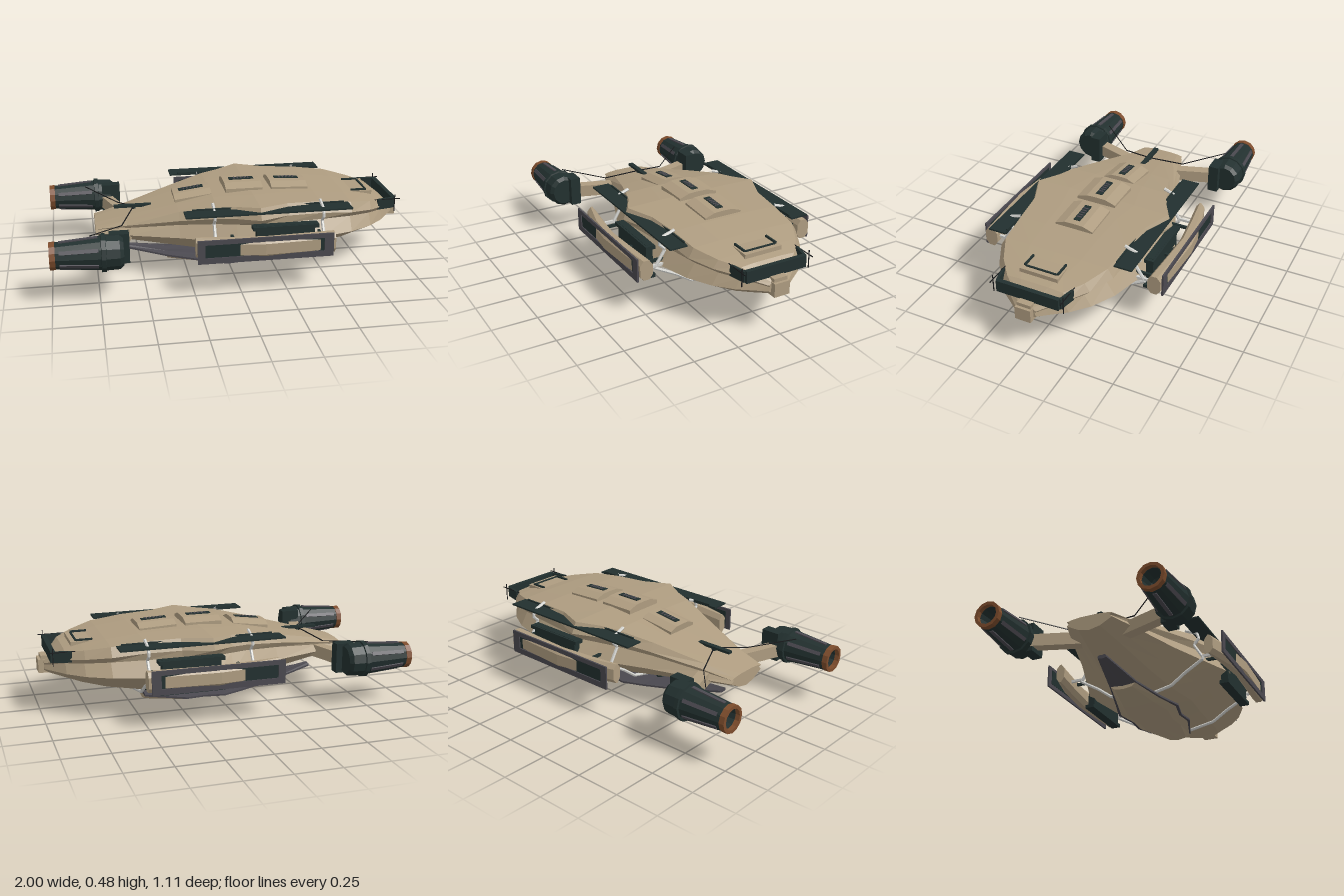
import * as THREE from 'three';

const mat = (name, color, side = THREE.FrontSide) => {
  const m = new THREE.MeshStandardMaterial({ color, side });
  m.name = name;
  return m;
};
const tan = mat('tan hull', 0xae9c80);
const dark = mat('dark green metal', 0x22302f);
const grey = mat('slate grey', 0x4b4950);
const pale = mat('pale tube', 0xd2d2ce);
const brown = mat('burnt copper', 0x7d4c2c);
const black = mat('black', 0x18191b);

export function createModel() {
  const model = new THREE.Group();
  model.name = 'spaceship';

  const add = (name, geo, material, parent = model) => {
    const g = geo.index ? geo.toNonIndexed() : geo;
    g.computeVertexNormals(); // faceted look
    const mesh = new THREE.Mesh(g, material);
    mesh.name = name;
    parent.add(mesh);
    return mesh;
  };

  // box from its minimum and maximum corners
  const box = (name, x0, x1, y0, y1, z0, z1, material, parent) => {
    const m = add(name, new THREE.BoxGeometry(x1 - x0, y1 - y0, Math.abs(z1 - z0)), material, parent);
    m.position.set((x0 + x1) / 2, (y0 + y1) / 2, (z0 + z1) / 2);
    return m;
  };

  // square beam between two points
  const beam = (name, a, b, w, h, material) => {
    const p = new THREE.Vector3(...a), q = new THREE.Vector3(...b);
    const m = add(name, new THREE.BoxGeometry(w, h, p.distanceTo(q)), material);
    m.position.copy(p).lerp(q, 0.5);
    m.lookAt(q);
    return m;
  };

  // skin over rings of [z, y] points at rising x, with closed ends
  const loft = (name, rings, material, parent) => {
    const v = [];
    const tri = (...p) => p.forEach(k => v.push(...k));
    const pts = rings.map(([x, ring]) => ring.map(([z, y]) => [x, y, z]));
    const n = pts[0].length;
    const mid = r => r.reduce((s, p) => s.map((c, i) => c + p[i] / n), [0, 0, 0]);
    const first = pts[0], last = pts[pts.length - 1];
    for (let j = 0; j < n; j++) {
      const k = (j + 1) % n;
      for (let i = 0; i + 1 < pts.length; i++) {
        const a = pts[i], b = pts[i + 1];
        tri(a[j], a[k], b[j]);
        tri(a[k], b[k], b[j]);
      }
      tri(mid(first), first[k], first[j]);
      tri(mid(last), last[j], last[k]);
    }
    const g = new THREE.BufferGeometry();
    g.setAttribute('position', new THREE.Float32BufferAttribute(v, 3));
    return add(name, g, material, parent);
  };

  // completes a half section (top to bottom, z >= 0) whose end points lie on z = 0
  const mirrored = half => [...half, ...half.slice(1, -1).reverse().map(([z, y]) => [-z, y])];
  const mix = THREE.MathUtils.lerp;

  // hull: x, deck half width, deck height, belt half width, keel height
  const hull = [
    [-0.75, 0.10, 0.285, 0.13, 0.20], [-0.58, 0.14, 0.325, 0.19, 0.17],
    [-0.30, 0.23, 0.39, 0.28, 0.115], [-0.10, 0.30, 0.43, 0.36, 0.08],
    [0.0, 0.335, 0.438, 0.40, 0.073], [0.12, 0.40, 0.447, 0.45, 0.07],
    [0.28, 0.335, 0.442, 0.42, 0.07], [0.47, 0.315, 0.435, 0.39, 0.08],
    [0.65, 0.30, 0.415, 0.34, 0.115], [0.78, 0.235, 0.39, 0.27, 0.155],
    [0.87, 0.16, 0.37, 0.19, 0.19], [0.93, 0.08, 0.325, 0.11, 0.21],
    [0.97, 0.04, 0.30, 0.06, 0.225],
  ].map(([x, dw, dy, bw, ky]) => [x, mirrored([
    [0, dy], [dw * 0.5, dy], [dw, dy - 0.005], [Math.min(dw + 0.03, bw), mix(0.25, dy, 0.66)],
    [bw * 0.86, mix(0.25, dy, 0.45)], [bw, 0.25],
    [bw * 0.7, mix(0.25, ky, 0.42)], [bw * 0.47, mix(0.25, ky, 0.74)], [0, ky],
  ])]);
  loft('hull', hull, tan);
  box('nose block', 0.94, 1.0, 0.225, 0.30, -0.045, 0.045, tan);
  box('nose cap', 0.95, 0.985, 0.295, 0.32, -0.04, 0.04, tan);

  // bow sensor panel
  box('bow panel', 0.925, 0.95, 0.315, 0.38, -0.178, 0.178, dark);
  for (const s of [-1, 1]) {
    beam('bow panel wing', [0.935, 0.347, s * 0.178], [0.84, 0.347, s * 0.20], 0.015, 0.06, dark);
    beam('bow aerial', [0.82, 0.375, s * 0.2], [0.97, 0.375, s * 0.2], 0.004, 0.004, black);
    beam('bow aerial mast', [0.94, 0.30, s * 0.2], [0.94, 0.40, s * 0.2], 0.004, 0.004, black);
    box('bow hatch edge', 0.71, 0.80, 0.395, 0.412, s * 0.09, s * 0.1, dark);
  }
  box('bow hatch', 0.69, 0.83, 0.37, 0.402, -0.11, 0.11, tan);
  box('bow hatch sill', 0.795, 0.805, 0.395, 0.408, -0.09, 0.09, dark);

  // three raised roof hatches with slatted vents
  for (const [x, y, tilt, w] of [[-0.2, 0.405, 0.13, 0.095], [0.085, 0.445, 0, 0.115], [0.345, 0.437, -0.05, 0.11]]) {
    const hatch = new THREE.Group();
    hatch.name = 'roof hatch';
    hatch.position.set(x, y, 0);
    hatch.rotation.z = tilt;
    model.add(hatch);
    const section = mirrored([[0, 0.036], [w * 0.5, 0.034], [w, 0.014], [w, -0.01], [0, -0.01]]);
    loft('hatch cover', [[-0.105, section], [0.105, section]], tan, hatch);
    box('vent', -0.07, 0.07, 0.034, 0.039, -0.019, 0.019, dark, hatch);
    for (let i = -2; i <= 2; i++)
      box('vent slat', i * 0.02 - 0.004, i * 0.02 + 0.004, 0.038, 0.042, -0.014, 0.014, grey, hatch);
  }

  // rear aerial bar
  box('aerial bar', -0.64, -0.43, 0.347, 0.361, -0.014, 0.014, dark);
  box('aerial mast', -0.54, -0.52, 0.31, 0.35, -0.01, 0.01, dark);

  // keel fin: x, height, half width
  const keel = [[-0.6, 0.105, 0.025], [-0.35, 0.055, 0.08], [-0.15, 0.035, 0.14],
    [-0.02, 0.03, 0.185], [0.1, 0.025, 0.155], [0.2, 0.025, 0.165], [0.42, 0.035, 0.08]];
  loft('keel plate', keel.map(([x, y, w]) =>
    [x, mirrored([[0, y + 0.02], [w * 0.5, y + 0.025], [w, y + 0.017], [w, y + 0.007], [0, y]])]), grey);
  loft('keel underside', keel.slice(1).map(([x, y, w]) =>
    [x, mirrored([[0, y + 0.006], [w * 0.92, y + 0.007], [w * 0.65, y - 0.012], [0, y - 0.02]])]), tan);
  for (const x of [-0.15, 0.12, 0.38])
    add('keel mount', new THREE.CylinderGeometry(0.025, 0.02, 0.06, 8), dark).position.set(x, 0.07, 0);

  // engine profile about its own axis, front to back
  const lathe = pts => new THREE.LatheGeometry(pts.map(p => new THREE.Vector2(...p)), 12).rotateZ(Math.PI / 2);
  const engineProfile = [[0, 0.62], [0.075, 0.62], [0.092, 0.64], [0.094, 0.71], [0.102, 0.712],
    [0.102, 0.735], [0.09, 0.737], [0.07, 0.975], [0.055, 0.975], [0.045, 0.9], [0, 0.88]];
  const rimProfile = [[0.056, 0.97], [0.074, 0.97], [0.074, 1.0], [0.056, 1.0], [0.056, 0.97]];

  for (const s of [-1, 1]) {
    // engines
    const engine = new THREE.Group();
    engine.name = 'engine';
    engine.position.set(0, 0.27, s * 0.455);
    model.add(engine);
    add('engine shell', lathe(engineProfile), dark, engine);
    add('nozzle rim', lathe(rimProfile), brown, engine);
    for (let i = 0; i < 6; i++) {
      const turn = new THREE.Group();
      turn.name = 'engine rib';
      turn.rotation.x = i * Math.PI / 3;
      engine.add(turn);
      const rib = box('cooling rib', -0.95, -0.75, 0.076, 0.084, -0.01, 0.01, grey, turn);
      rib.rotation.z = 0.08;
    }
    box('engine coupling', -0.69, -0.585, 0.19, 0.355, s * 0.37, s * 0.43, dark);
    beam('engine pylon', [-0.58, 0.25, s * 0.13], [-0.67, 0.25, s * 0.40], 0.06, 0.07, tan);
    beam('stay cable', [-0.53, 0.35, 0], [-0.61, 0.31, s * 0.19], 0.005, 0.005, black);
    beam('stay cable', [-0.61, 0.31, s * 0.19], [-0.79, 0.345, s * 0.40], 0.004, 0.004, black);

    // deck rails
    box('deck rail', -0.285, 0.625, 0.411, 0.42, s * 0.32, s * 0.42, dark);
    box('deck rail lip', -0.24, 0.6, 0.418, 0.428, s * 0.32, s * 0.328, dark);

    // side pod: x, inner z, outer z
    const pod = [[-0.24, 0.43, 0.48], [-0.06, 0.455, 0.528], [0.12, 0.475, 0.548], [0.3, 0.467, 0.54], [0.505, 0.455, 0.528]]
      .map(([x, a, b]) => {
        const h = 0.055, c = 0.02;
        const ring = [[a + c, 0.265 + h], [b - c, 0.265 + h], [b, 0.265 + h * 0.55], [b, 0.265 - h * 0.55],
          [b - c, 0.265 - h], [a + c, 0.265 - h], [a, 0.265 - h * 0.5], [a, 0.265 + h * 0.5]];
        return [x, s > 0 ? ring : ring.map(([z, y]) => [-z, y]).reverse()];
      });
    loft('side pod', pod, tan);

    // pod frame with an open middle and a dark backing
    const shape = new THREE.Shape([[-0.24, 0.2], [0.49, 0.2], [0.49, 0.33], [-0.24, 0.33]].map(p => new THREE.Vector2(...p)));
    shape.holes.push(new THREE.Path([[-0.2, 0.232], [-0.2, 0.305], [0.44, 0.305], [0.44, 0.232]].map(p => new THREE.Vector2(...p))));
    const frame = add('pod frame', new THREE.ExtrudeGeometry(shape, { depth: 0.01, bevelEnabled: false }), grey);
    frame.position.z = s * 0.534 - 0.005;
    box('pod panel', -0.21, 0.45, 0.225, 0.312, s * 0.527, s * 0.533, dark);

    // pod bracket and struts
    box('pod bracket', 0.09, 0.41, 0.175, 0.355, s * 0.405, s * 0.445, dark);
    for (const y of [0.18, 0.345])
      box('bracket flange', 0.07, 0.43, y - 0.012, y + 0.008, s * 0.40, s * 0.455, dark);
    for (const x of [-0.03, 0.25, 0.45])
      beam('pod strut', [x, 0.28, s * 0.36], [x, 0.28, s * 0.48], 0.015, 0.015, dark);

    // pale tubes wrapping the hull
    for (const [x, k] of [[-0.12, 0.89], [0.47, 1]]) {
      const path = new THREE.CurvePath();
      const pts = [[0, 0.075], [0.21, 0.118], [0.3, 0.178], [0.428, 0.247], [0.365, 0.34], [0.4, 0.376], [0.385, 0.412], [0.31, 0.437]]
        .map(([z, y]) => new THREE.Vector3(x, y, s * z * k));
      for (let i = 1; i < pts.length; i++) path.add(new THREE.LineCurve3(pts[i - 1], pts[i]));
      add('hull tube', new THREE.TubeGeometry(path, 56, 0.009, 6), pale);
      beam('pod tube', [x, 0.26, s * 0.37], [x, 0.26, s * 0.46], 0.014, 0.014, pale);
    }
  }
  return model;
}
